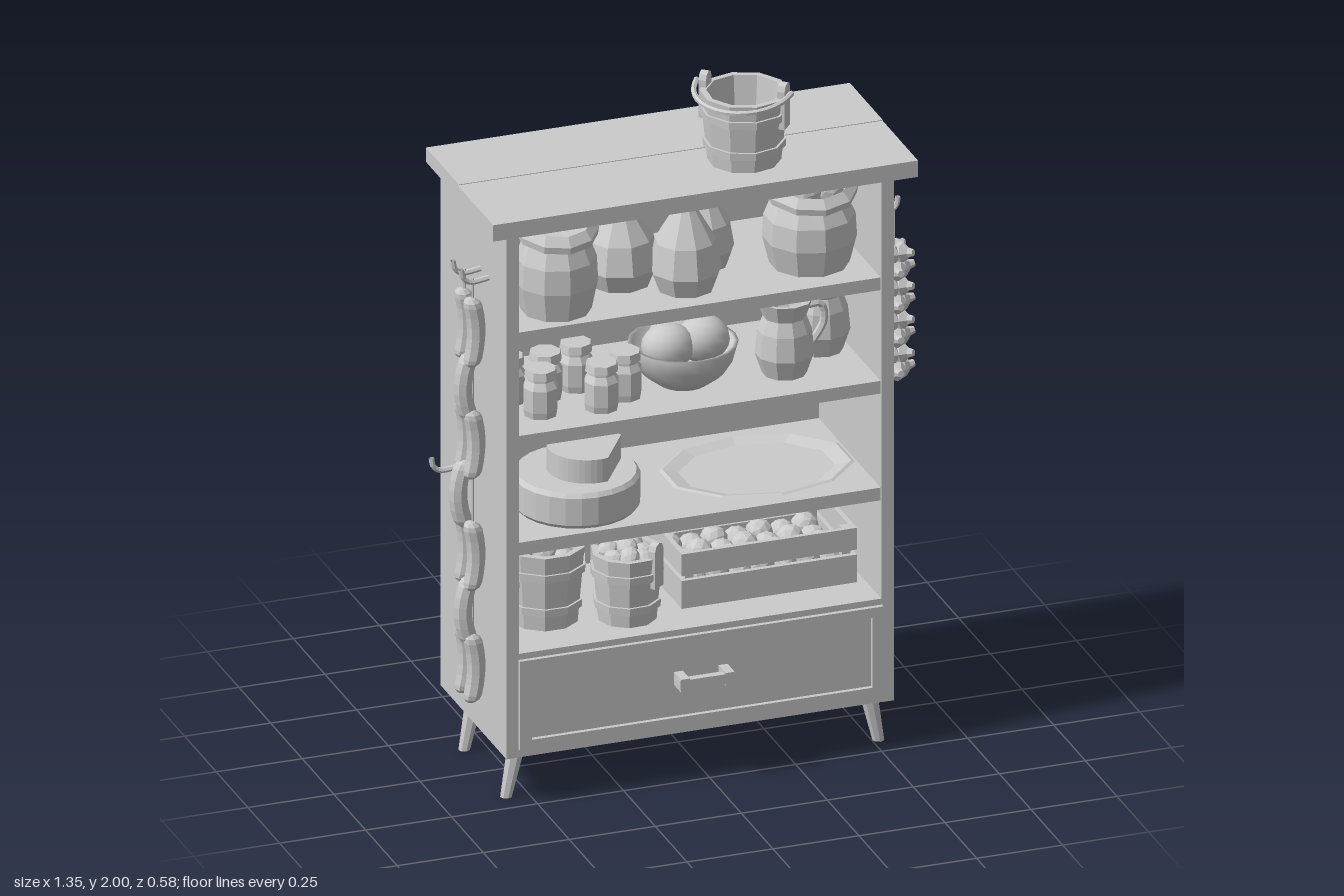
import * as THREE from 'three';

const flat = new THREE.MeshStandardMaterial({ color: 0xcccccc, flatShading: true, side: THREE.DoubleSide });
const smooth = new THREE.MeshStandardMaterial({ color: 0xcccccc, side: THREE.DoubleSide });

function add(parent, name, geometry, x = 0, y = 0, z = 0, material = flat) {
  const mesh = new THREE.Mesh(geometry, material);
  mesh.name = name;
  mesh.position.set(x, y, z);
  parent.add(mesh);
  return mesh;
}

function group(parent, name, x = 0, y = 0, z = 0) {
  const g = new THREE.Group();
  g.name = name;
  g.position.set(x, y, z);
  parent.add(g);
  return g;
}

// Box given by its lower and upper bounds on each axis
function box(parent, name, x0, x1, y0, y1, z0, z1) {
  return add(parent, name, new THREE.BoxGeometry(x1 - x0, y1 - y0, z1 - z0), (x0 + x1) / 2, (y0 + y1) / 2, (z0 + z1) / 2);
}

const lathe = (points, sides = 10) => new THREE.LatheGeometry(points.map(p => new THREE.Vector2(...p)), sides);

function tube(points, radius, steps = 10, sides = 6) {
  const curve = new THREE.CatmullRomCurve3(points.map(p => new THREE.Vector3(...p)));
  return new THREE.TubeGeometry(curve, steps, radius, sides);
}

// Ring of lumps with one in the middle, for filling containers
function lumps(parent, name, count, ring, size, y) {
  for (let i = 0; i <= count; i++) {
    const a = i * 2 * Math.PI / count, r = i < count ? ring : 0;
    const m = add(parent, name, new THREE.IcosahedronGeometry(size, 1), r * Math.cos(a), y + (i % 2) * size * 0.3 + (r ? 0 : size * 0.4), r * Math.sin(a));
    m.scale.set(1.15, 0.85, 1);
    m.rotation.set(i, i * 1.7, 0);
  }
}

// Stave bucket with bands, two ears and an optional bail resting on the rim
function bucket(parent, x, y, z, r, h, turn, bail) {
  const g = group(parent, 'bucket', x, y, z);
  g.rotation.y = turn;
  const b = r * 0.83;
  add(g, 'staves', lathe([[0, 0], [b, 0], [r, h], [r - 0.018, h], [b - 0.018, 0.02], [0, 0.02]]));
  for (const t of [0.25, 0.72]) {
    const q = b + (r - b) * t, k = h * t;
    add(g, 'band', lathe([[q, k - 0.01], [q + 0.007, k - 0.01], [q + 0.008, k + 0.012], [q, k + 0.012]]));
  }
  for (const s of [-1, 1]) {
    box(g, 'ear', s * (r - 0.008) - 0.011, s * (r - 0.008) + 0.011, h * 0.55, h + 0.02, -0.022, 0.022);
    const cap = add(g, 'earCap', new THREE.CylinderGeometry(0.022, 0.022, 0.022, 8), s * (r - 0.008), h + 0.02, 0);
    cap.rotation.z = Math.PI / 2;
  }
  if (bail) {
    const pts = [];
    for (let i = 0; i <= 8; i++) {
      const a = i * Math.PI / 8;
      pts.push([(r + 0.016) * Math.cos(a), h + 0.012 - 0.02 * Math.sin(a), (r + 0.02) * Math.sin(a)]);
    }
    add(g, 'bail', tube(pts, 0.008, 16));
  }
  return g;
}

// Open sack with a rolled, uneven collar
function sack(parent, x, z, r, h, filled) {
  const g = group(parent, 'openSack', x, 1.41, z);
  const geo = lathe([[0, 0], [r * 0.85, 0], [r, h * 0.3], [r * 0.97, h * 0.55], [r * 0.75, h * 0.8], [r, h * 0.8],
    [r * 1.02, h * 0.87], [r * 0.85, h * 0.95], [r * 0.72, h * 0.87], [0, h * 0.84]]);
  const p = geo.attributes.position;
  for (let i = 0; i < p.count; i++) {
    if (p.getY(i) > h * 0.75) p.setY(i, p.getY(i) - p.getZ(i) * 0.17);
  }
  add(g, 'cloth', geo);
  if (filled) lumps(g, 'potato', 6, r * 0.5, 0.045, h * 0.87);
}

function pouch(parent, x, z, r, h) {
  add(parent, 'tiedPouch', lathe([[0, 0], [r * 0.8, 0], [r, h * 0.2], [r * 0.85, h * 0.5], [r * 0.35, h * 0.8],
    [r * 0.24, h * 0.87], [r * 0.4, h * 0.97], [0, h]], 9), x, 1.41, z);
}

function jar(parent, x, z) {
  const g = group(parent, 'jar', x, 1.1, z);
  add(g, 'glass', lathe([[0, 0], [0.046, 0], [0.05, 0.02], [0.05, 0.085], [0.038, 0.105], [0.038, 0.12]], 8));
  add(g, 'lid', new THREE.CylinderGeometry(0.044, 0.048, 0.022, 8), 0, 0.127, 0);
}

function jug(parent, x, z, s, turn) {
  const g = group(parent, 'jug', x, 1.1, z);
  g.rotation.y = turn;
  g.scale.setScalar(s);
  add(g, 'jugBody', lathe([[0, 0], [0.062, 0], [0.082, 0.06], [0.075, 0.13], [0.06, 0.17], [0.078, 0.222],
    [0.068, 0.222], [0.05, 0.17], [0.06, 0.06], [0, 0.02]]));
  add(g, 'jugHandle', tube([[0.06, 0.19, 0], [0.105, 0.19, 0], [0.115, 0.14, 0], [0.075, 0.07, 0]], 0.011));
}

// Wall hook pointing outwards along side s
function hook(parent, s, y, z) {
  const wall = s > 0 ? 0.535 : -0.58;
  add(parent, 'hook', tube([[wall, y, z], [wall + s * 0.06, y - 0.005, z], [wall + s * 0.08, y + 0.01, z], [wall + s * 0.085, y + 0.035, z]], 0.008), 0, 0, 0);
}

export function createModel() {
  const root = new THREE.Group();
  root.name = 'pantryCabinet';

  // Carcass, shelves and top planks
  box(root, 'sidePanel', -0.585, -0.548, 0.14, 1.71, -0.285, 0.235);
  box(root, 'sidePanel', 0.505, 0.541, 0.14, 1.71, -0.285, 0.235);
  box(root, 'backPanel', -0.55, 0.51, 0.14, 1.71, -0.285, -0.26);
  box(root, 'drawerCase', -0.55, 0.51, 0.14, 0.45, -0.27, 0.234);
  for (const y of [0.78, 1.1, 1.41]) box(root, 'shelf', -0.55, 0.51, y - 0.038, y, -0.27, 0.228);
  box(root, 'topFrontPlank', -0.63, 0.605, 1.706, 1.755, -0.028, 0.252);
  box(root, 'topBackPlank', -0.625, 0.607, 1.712, 1.755, -0.292, -0.032);

  // Drawer with raised frame and bar handle
  const drawer = group(root, 'drawer');
  box(drawer, 'frameTop', -0.55, 0.507, 0.402, 0.432, 0.22, 0.247);
  box(drawer, 'frameBottom', -0.55, 0.507, 0.165, 0.193, 0.22, 0.247);
  box(drawer, 'frameSide', -0.55, -0.515, 0.19, 0.405, 0.22, 0.247);
  box(drawer, 'frameSide', 0.475, 0.507, 0.19, 0.405, 0.22, 0.247);
  box(drawer, 'handleBar', -0.1, 0.06, 0.292, 0.32, 0.265, 0.287);
  for (const x of [-0.085, 0.045]) box(drawer, 'handlePost', x - 0.013, x + 0.013, 0.287, 0.325, 0.23, 0.29);

  // Splayed tapered legs
  for (const [x, s] of [[-0.535, -1], [0.49, 1]]) for (const z of [0.173, -0.157]) {
    const geo = new THREE.CylinderGeometry(0.026, 0.017, 0.145, 8);
    const p = geo.attributes.position;
    for (let i = 0; i < p.count; i++) p.setX(i, p.getX(i) - s * p.getY(i) * 0.2);
    add(root, 'leg', geo, x + s * 0.014, 0.0725, z);
  }

  // Bucket on the top
  bucket(root, 0.165, 1.755, 0.075, 0.122, 0.205, Math.PI + 0.7 - 2 * 0.7 - Math.PI, true).scale.z = 1;

  // First shelf: sacks and pouches
  sack(root, -0.395, 0.11, 0.115, 0.285, false);
  pouch(root, -0.17, 0, 0.11, 0.27);
  pouch(root, -0.015, 0.1, 0.1, 0.285);
  pouch(root, 0.085, -0.03, 0.085, 0.255);
  sack(root, 0.36, 0.06, 0.13, 0.265, true);

  // Second shelf: jars, bowl of eggs, jugs
  for (const [x, z] of [[-0.44, 0.11], [-0.495, 0], [-0.39, 0.01], [-0.27, 0.13], [-0.185, 0.08], [-0.29, -0.02]]) jar(root, x, z);
  const bowl = group(root, 'bowl', 0, 1.1, 0.04);
  add(bowl, 'bowlShell', lathe([[0, 0], [0.07, 0], [0.115, 0.035], [0.14, 0.075], [0.152, 0.12], [0.14, 0.12], [0.105, 0.05], [0, 0.03]], 20), 0, 0, 0, smooth);
  for (const [x, y, z] of [[-0.055, 0.125, 0.03], [0.05, 0.128, 0.02], [0, 0.11, -0.06]]) {
    add(bowl, 'egg', new THREE.SphereGeometry(0.066, 14, 10), x, y, z, smooth).scale.x = 1.15;
  }
  jug(root, 0.28, 0.08, 1, 0);
  jug(root, 0.425, -0.03, 1, Math.PI);

  // Third shelf: cheese and tray
  const cheese = group(root, 'cheese', -0.31, 0.78, 0.04);
  add(cheese, 'cheeseWheel', lathe([[0, 0], [0.165, 0], [0.175, 0.012], [0.175, 0.093], [0.165, 0.105], [0, 0.105]], 24));
  const cut = new THREE.Shape();
  cut.moveTo(0, 0);
  cut.absarc(0, 0, 0.11, 0, Math.PI * 1.5, false);
  cut.closePath();
  const wedge = add(cheese, 'cutCheese', new THREE.ExtrudeGeometry(cut, { depth: 0.07, bevelEnabled: false, curveSegments: 16 }), 0.03, 0.105, 0);
  wedge.rotation.set(-Math.PI / 2, 0, 0.2);
  add(root, 'tray', lathe([[0, 0], [0.22, 0], [0.275, 0.016], [0.265, 0.02], [0.22, 0.008], [0, 0.008]]), 0.225, 0.78, 0.01).scale.z = 0.75;

  // Bottom shelf: filled buckets and crate
  const back = bucket(root, -0.4, 0.45, 0.03, 0.115, 0.225, 0.3, false);
  const front = bucket(root, -0.185, 0.45, 0.1, 0.1, 0.2, -0.9, false);
  lumps(back, 'produce', 7, 0.06, 0.032, 0.17);
  lumps(front, 'produce', 7, 0.05, 0.03, 0.185);
  const crate = group(root, 'crate');
  box(crate, 'crateFloor', -0.03, 0.47, 0.452, 0.465, -0.18, 0.11);
  for (const [y0, y1] of [[0.457, 0.54], [0.555, 0.62]]) {
    for (const z of [0.11, -0.195]) box(crate, 'longSlat', -0.035, 0.475, y0, y1, z, z + 0.014);
    for (const x of [-0.035, 0.461]) box(crate, 'endSlat', x, x + 0.014, y0, y1, -0.18, 0.11);
  }
  for (const x of [-0.02, 0.436]) for (const z of [0.085, -0.18]) box(crate, 'cratePost', x, x + 0.025, 0.455, 0.618, z, z + 0.025);
  for (let i = 0; i < 7; i++) for (let j = 0; j < 4; j++) {
    const m = add(crate, 'vegetable', new THREE.IcosahedronGeometry(0.04, 1), 0.02 + i * 0.066, 0.515 + ((i + j) % 2) * 0.012, 0.06 - j * 0.064);
    m.rotation.set(i, j, i + j);
  }

  // Hooks on both sides
  hook(root, 1, 1.525, 0.052);
  hook(root, 1, 0.86, -0.11);
  for (const z of [0.03, 0.095]) hook(root, -1, 1.525, z);
  hook(root, -1, 0.86, -0.14);

  // Garlic braid: staggered rings of bulbs on a string
  const garlic = group(root, 'garlicBraid', 0.608, 0, 0.052);
  add(garlic, 'string', new THREE.CylinderGeometry(0.004, 0.004, 0.5, 5), 0, 1.29, 0);
  const bulb = lathe([[0, 0], [0.01, 0], [0.027, 0.012], [0.029, 0.028], [0.014, 0.045], [0.01, 0.06], [0, 0.06]], 7);
  for (let i = 0; i < 8; i++) for (let j = 0; j < 4; j++) {
    const a = j * Math.PI / 2 + (i % 2) * Math.PI / 4;
    const m = add(garlic, 'garlicBulb', bulb, 0, 1.045 + i * 0.05, 0);
    m.quaternion.setFromUnitVectors(new THREE.Vector3(0, 1, 0), new THREE.Vector3(Math.cos(a), 0.15, Math.sin(a)).normalize());
  }

  // Sausage string: pairs alternating with single links
  const links = group(root, 'sausageString', -0.632, 0, 0.062);
  function sausage(x, y, z, bend) {
    const geo = new THREE.CapsuleGeometry(0.027, 0.155, 3, 8, 5);
    const p = geo.attributes.position;
    for (let i = 0; i < p.count; i++) p.setX(i, p.getX(i) + bend * (p.getY(i) ** 2 - 0.005));
    add(links, 'sausage', geo, x, y, z);
  }
  for (let i = 0; i < 4; i++) {
    const y = 1.37 - i * 0.335;
    for (const z of [-0.035, 0.035]) sausage(0.002, y, z, -1.6);
    if (i < 3) sausage(-0.012, y - 0.17, i % 2 ? -0.02 : 0.02, 2.2);
  }
  for (const z of [-0.032, 0.033]) add(links, 'string', new THREE.CylinderGeometry(0.004, 0.004, 1.2, 5), 0, 0.93, z);
  return root;
}
